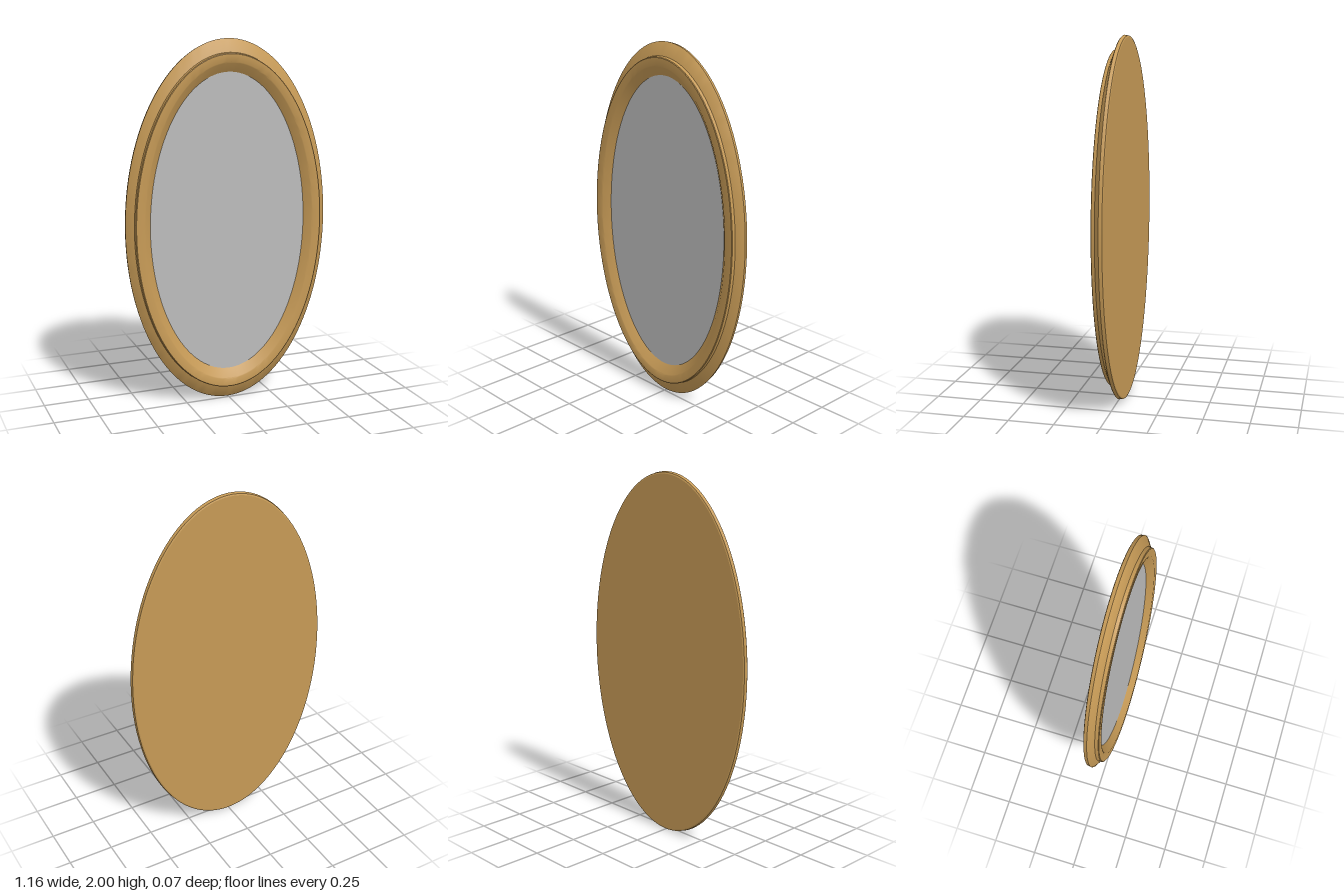
import * as THREE from 'three';
import { toCreasedNormals } from 'three/addons/utils/BufferGeometryUtils.js';

const SEGMENTS = 128;

// Sweeps a profile of [x radius, y radius, z] around the oval
function ovalMoulding(profile) {
  const positions = [];
  const index = [];
  for (const [rx, ry, z] of profile) {
    for (let j = 0; j < SEGMENTS; j++) {
      const t = (j / SEGMENTS) * Math.PI * 2;
      positions.push(rx * Math.cos(t), ry * Math.sin(t), z);
    }
  }
  for (let i = 0; i < profile.length - 1; i++) {
    for (let j = 0; j < SEGMENTS; j++) {
      const k = (j + 1) % SEGMENTS;
      const a = i * SEGMENTS + j, b = i * SEGMENTS + k;
      const c = b + SEGMENTS, d = a + SEGMENTS;
      index.push(a, b, c, a, c, d);
    }
  }
  const geometry = new THREE.BufferGeometry();
  geometry.setAttribute('position', new THREE.Float32BufferAttribute(positions, 3));
  geometry.setIndex(index);
  return toCreasedNormals(geometry, 0.5);
}

// Flat oval disc facing +z
function ovalDisc(rx, ry) {
  return new THREE.CircleGeometry(1, SEGMENTS).scale(rx, ry, 1);
}

export function createModel() {
  const wood = new THREE.MeshStandardMaterial({ color: 0xc69a56 });
  wood.name = 'golden wood';
  const silver = new THREE.MeshStandardMaterial({ color: 0xbcbcbc });
  silver.name = 'silver glass';

  const model = new THREE.Group();
  model.name = 'ovalMirror';
  const add = (name, geometry, material, z = 0) => {
    const mesh = new THREE.Mesh(geometry, material);
    mesh.name = name;
    mesh.position.set(0, 1, z);
    model.add(mesh);
    return mesh;
  };

  // Frame: rounded back edge, outer slope, raised rim, inner slope
  add('frame', ovalMoulding([
    [0.568, 0.988, -0.037],
    [0.576, 0.996, -0.034],
    [0.579, 1.0, -0.016],
    [0.576, 0.996, -0.012],
    [0.538, 0.928, 0.014],
    [0.536, 0.925, 0.032],
    [0.532, 0.921, 0.035],
    [0.488, 0.88, 0.035],
    [0.482, 0.874, 0.032],
    [0.446, 0.826, 0.0],
  ]), wood);

  // Back panel
  add('backPanel', ovalDisc(0.568, 0.988).rotateY(Math.PI), wood, -0.037);

  // Mirror glass
  add('mirrorGlass', ovalDisc(0.447, 0.827), silver);

  return model;
}
